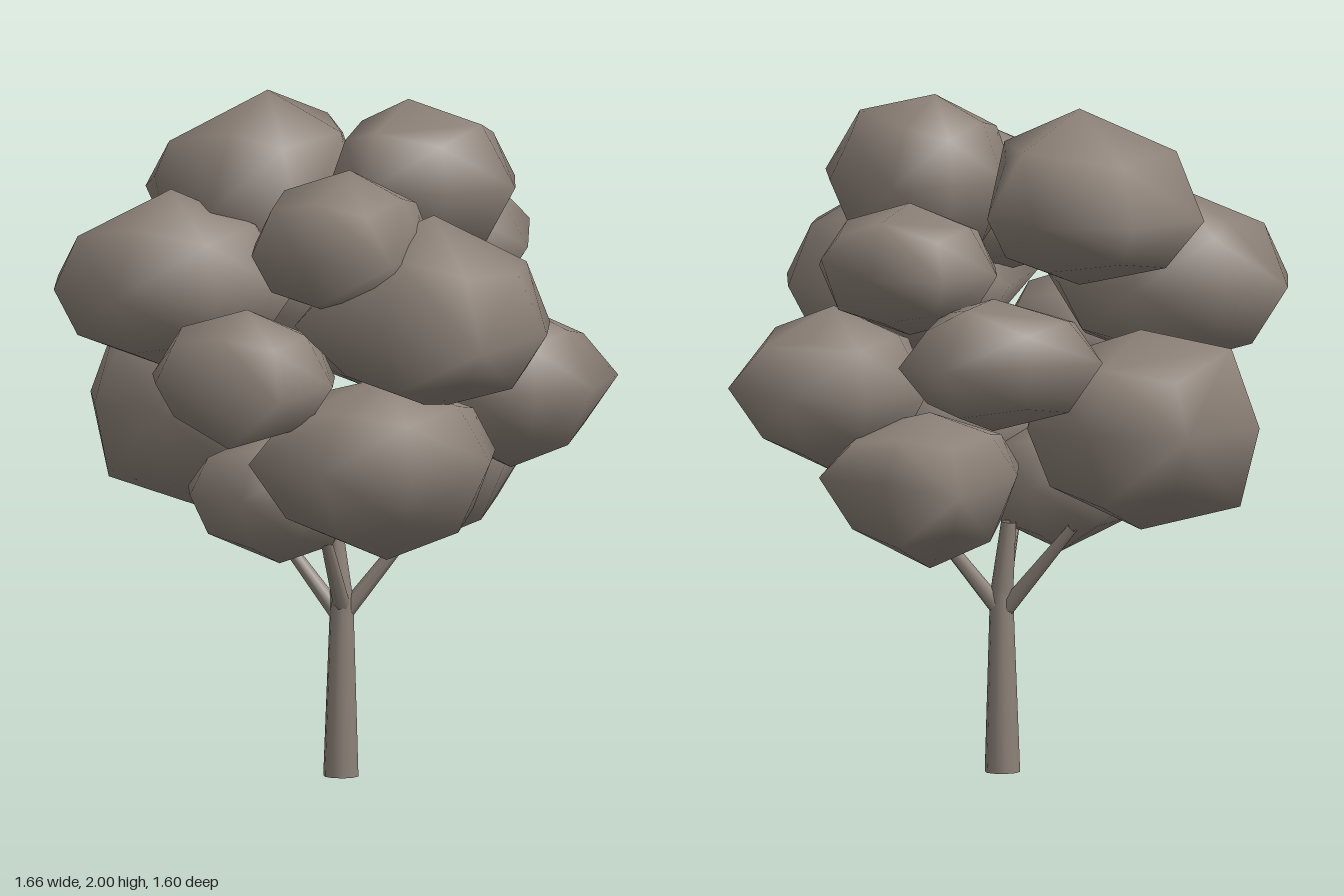
import * as THREE from 'three';
import { mergeVertices } from 'three/addons/utils/BufferGeometryUtils.js';
import { ConvexGeometry } from 'three/addons/geometries/ConvexGeometry.js';

// Directions of a coarse ball: 6 tips, 12 edge points, 8 octant points
const ball = [];
const reach = [0, 1, 0.69, 0.55];
for (const x of [-1, 0, 1]) for (const y of [-1, 0, 1]) for (const z of [-1, 0, 1]) {
  const count = Math.abs(x) + Math.abs(y) + Math.abs(z);
  if (count) ball.push({ tip: count === 1, dir: [x, y, z].map((v) => v * reach[count]) });
}

// Leaf clump: the tips reach the box min..max and line up with the core;
// each corner takes the place of the nearest point that is not a tip
function clumpGeometry([min, max, core, ...corners]) {
  const place = (dir) => new THREE.Vector3(
    ...dir.map((v, k) => core[k] + v * (v > 0 ? max[k] - core[k] : core[k] - min[k])));
  const tips = ball.filter((p) => p.tip).map((p) => place(p.dir));
  const others = ball.filter((p) => !p.tip).map((p) => place(p.dir));
  for (const corner of corners) {
    const c = new THREE.Vector3(...corner);
    others.sort((a, b) => a.distanceTo(c) - b.distanceTo(c));
    others[0].copy(c);
  }
  let geo = new ConvexGeometry([...tips, ...others]);
  geo.deleteAttribute('normal');
  geo = mergeVertices(geo, 1e-4);
  geo.computeVertexNormals();
  return geo;
}

// Tapered open tube between two points
function limb(name, from, to, r0, r1, sides, material) {
  const a = new THREE.Vector3(...from);
  const b = new THREE.Vector3(...to);
  const dir = b.clone().sub(a);
  const mesh = new THREE.Mesh(
    new THREE.CylinderGeometry(r1, r0, dir.length(), sides, 1, true), material);
  mesh.name = name;
  mesh.position.copy(a).add(b).multiplyScalar(0.5);
  mesh.quaternion.setFromUnitVectors(new THREE.Vector3(0, 1, 0), dir.normalize());
  return mesh;
}

export function createModel() {
  const tree = new THREE.Group();
  tree.name = 'tree';
  const clay = new THREE.MeshStandardMaterial({ color: 0x8c8178, side: THREE.DoubleSide });
  clay.name = 'warm grey';

  // Trunk and branches
  tree.add(limb('trunk', [0.022, 0, 0.045], [0.025, 0.53, 0.045], 0.052, 0.034, 10, clay));
  tree.add(limb('leader', [0.025, 0.52, 0.045], [0, 0.74, 0.04], 0.034, 0.022, 10, clay));
  const branches = [
    [[0.02, 0.47, 0.045], [-0.2, 0.73, 0.05]],
    [[0.03, 0.48, 0.04], [0.24, 0.78, -0.07]],
    [[0.03, 0.5, 0.05], [0.06, 0.75, 0.23]],
  ];
  for (const [from, to] of branches) tree.add(limb('branch', from, to, 0.026, 0.016, 7, clay));

  // Leaf clumps: lowest corner, highest corner, core, then any jutting corners
  const clumps = {
    topRightClump: [[-0.68, 1.47, -0.41], [0, 1.99, 0.29], [-0.28, 1.68, -0.08],
      [-0.56, 1.78, -0.09], [-0.22, 1.89, -0.35], [-0.03, 1.62, 0.2], [-0.56, 1.74, 0.1],
      [-0.04, 1.88, -0.08]],
    topLeftClump: [[-0.02, 1.49, -0.35], [0.55, 2, 0.27], [0.2, 1.76, -0.04],
      [0.44, 1.94, -0.04]],
    upperRightClump: [[-0.8, 1.2, -0.03], [-0.03, 1.73, 0.62], [-0.43, 1.45, 0.25],
      [-0.61, 1.63, 0.25]],
    upperFrontClump: [[-0.08, 1.41, 0.11], [0.48, 1.85, 0.71], [0.23, 1.61, 0.4],
      [0.48, 1.61, 0.62]],
    upperLeftClump: [[0.12, 1.15, -0.05], [0.83, 1.72, 0.67], [0.46, 1.39, 0.31],
      [0.77, 1.37, 0.61], [0.15, 1.41, 0.6], [0.73, 1.56, 0.3]],
    upperBackClump: [[-0.16, 1.34, -0.68], [0.41, 1.73, -0.14], [0.12, 1.53, -0.4],
      [0.11, 1.7, -0.63], [0.31, 1.58, -0.61]],
    middleFrontClump: [[-0.34, 1.05, 0.28], [0.25, 1.44, 0.8], [-0.03, 1.23, 0.55],
      [0.02, 1.06, 0.77], [0.18, 1.2, 0.76]],
    middleBackClump: [[-0.52, 1.08, -0.8], [0.06, 1.47, -0.18], [-0.17, 1.3, -0.45],
      [-0.17, 1.46, -0.64], [0.04, 1.28, -0.66], [-0.38, 1.3, -0.65]],
    middleLeftClump: [[0.13, 0.9, -0.57], [0.7, 1.39, 0.05], [0.43, 1.15, -0.25],
      [0.67, 1.16, -0.47], [0.43, 1.3, -0.4]],
    lowerRightClump: [[-0.83, 0.75, -0.42], [-0.1, 1.34, 0.28], [-0.45, 1.07, -0.02],
      [-0.75, 0.83, 0.02], [-0.74, 1.3, -0.02], [-0.74, 1.07, -0.33]],
    lowerLeftClump: [[-0.08, 0.69, -0.05], [0.64, 1.23, 0.73], [0.3, 1, 0.3],
      [0.03, 1, 0.66]],
    lowerFrontClump: [[-0.4, 0.64, -0.03], [0.15, 1.05, 0.45], [-0.1, 0.85, 0.2],
      [-0.25, 0.97, 0.2], [-0.27, 0.74, 0.2]],
    lowerBackClump: [[-0.18, 0.64, -0.64], [0.4, 1.1, 0], [0.1, 0.93, -0.3],
      [-0.14, 0.9, -0.62], [0.33, 0.93, -0.58]],
  };
  for (const [name, shape] of Object.entries(clumps)) {
    const mesh = new THREE.Mesh(clumpGeometry(shape), clay);
    mesh.name = name;
    tree.add(mesh);
  }
  return tree;
}
